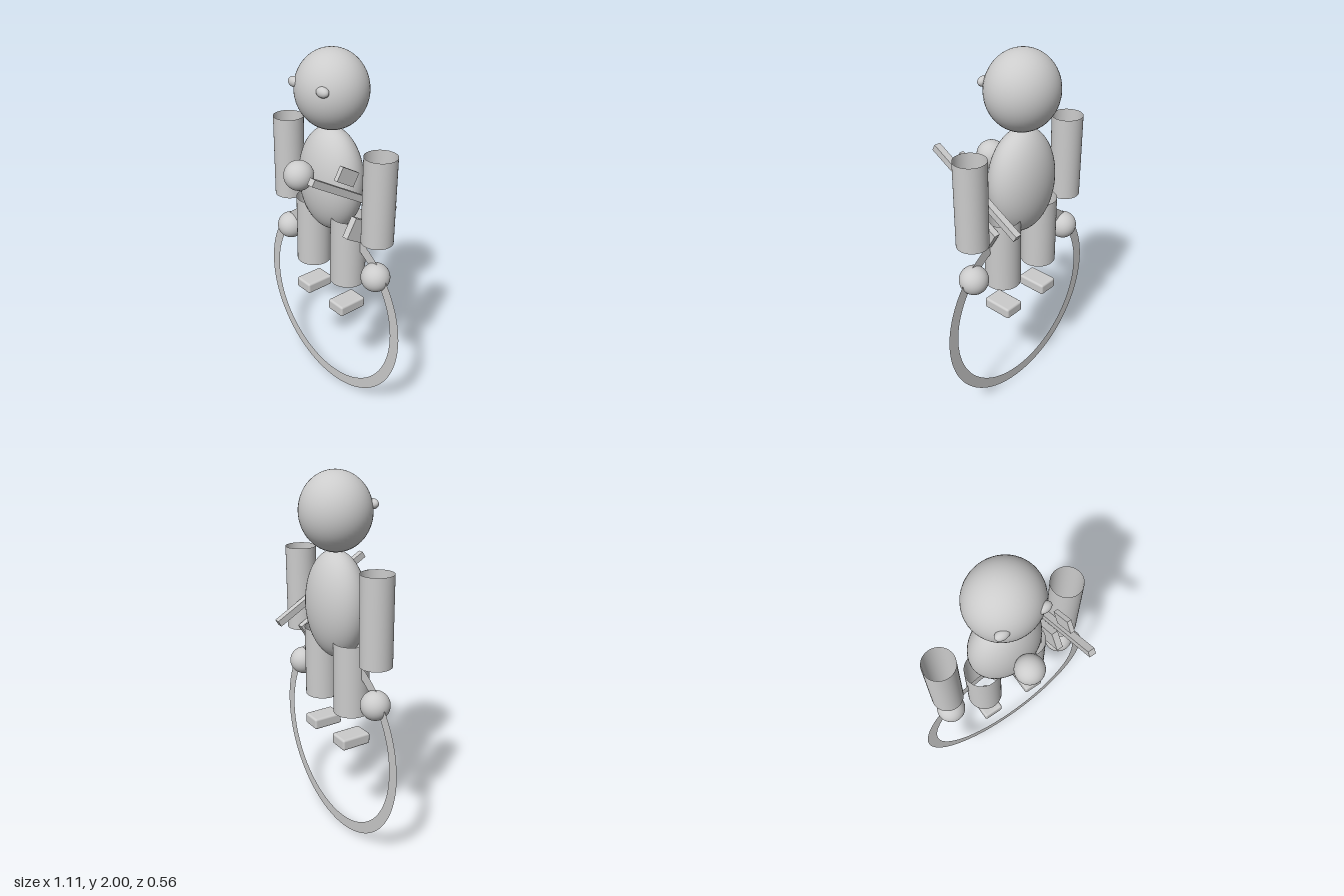
import * as THREE from 'three';
import { RoundedBoxGeometry } from 'three/addons/geometries/RoundedBoxGeometry.js';

const Z = -0.067; // depth of the body's middle plane

export function createModel() {
  const model = new THREE.Group();
  model.name = 'figure';
  const solid = new THREE.MeshStandardMaterial({ color: 0xcccccc });
  const open = new THREE.MeshStandardMaterial({ color: 0xcccccc, side: THREE.DoubleSide });

  function add(name, geometry, x, y, z, material = solid, parent = model) {
    const mesh = new THREE.Mesh(geometry, material);
    mesh.name = name;
    mesh.position.set(x, y, z);
    parent.add(mesh);
    return mesh;
  }
  const ellipsoid = (rx, ry, rz) => new THREE.SphereGeometry(1, 48, 32).scale(rx, ry, rz);
  const tube = (r, h) => new THREE.CylinderGeometry(r, r, h, 48, 1, true);

  // Head, body and the ball in front of the chest
  add('head', ellipsoid(0.193, 0.2, 0.183), 0, 1.8, Z);
  add('torso', ellipsoid(0.205, 0.285, 0.143), 0, 1.325, Z);
  add('chestBall', ellipsoid(0.077, 0.077, 0.077), 0, 1.4, 0.143);

  // Paired parts: open tubes for the limbs, floating hands and feet
  for (const [side, s] of [['left', 1], ['right', -1]]) {
    add(side + 'Eye', ellipsoid(0.038, 0.026, 0.025), s * 0.108, 1.838, 0.079);
    add(side + 'Arm', tube(0.083, 0.46), s * 0.363, 1.335, Z, open);
    add(side + 'Hand', ellipsoid(0.077, 0.077, 0.077), s * 0.363, 0.893, Z);
    add(side + 'Leg', tube(0.095, 0.39), s * 0.145, 0.97, Z, open);
    add(side + 'Foot', new RoundedBoxGeometry(0.115, 0.062, 0.17, 3, 0.012), s * 0.144, 0.61, Z);
  }

  // Flat upright ring
  add('ring', new THREE.RingGeometry(0.493, 0.556, 96), 0, 0.556, Z, open);

  // Tilted implement beside the left arm: long bar, block above, grip below
  const tool = new THREE.Group();
  tool.name = 'tool';
  tool.position.set(0.263, 1.34, 0);
  tool.rotation.x = -Math.PI / 6;
  model.add(tool);
  add('bar', new THREE.BoxGeometry(0.036, 0.036, 0.626), 0, 0, 0, solid, tool);
  add('topBlock', new THREE.BoxGeometry(0.024, 0.075, 0.118), 0, 0.078, 0.11, solid, tool);
  add('grip', new THREE.BoxGeometry(0.036, 0.115, 0.165), 0, -0.158, -0.137, solid, tool);

  return model;
}
